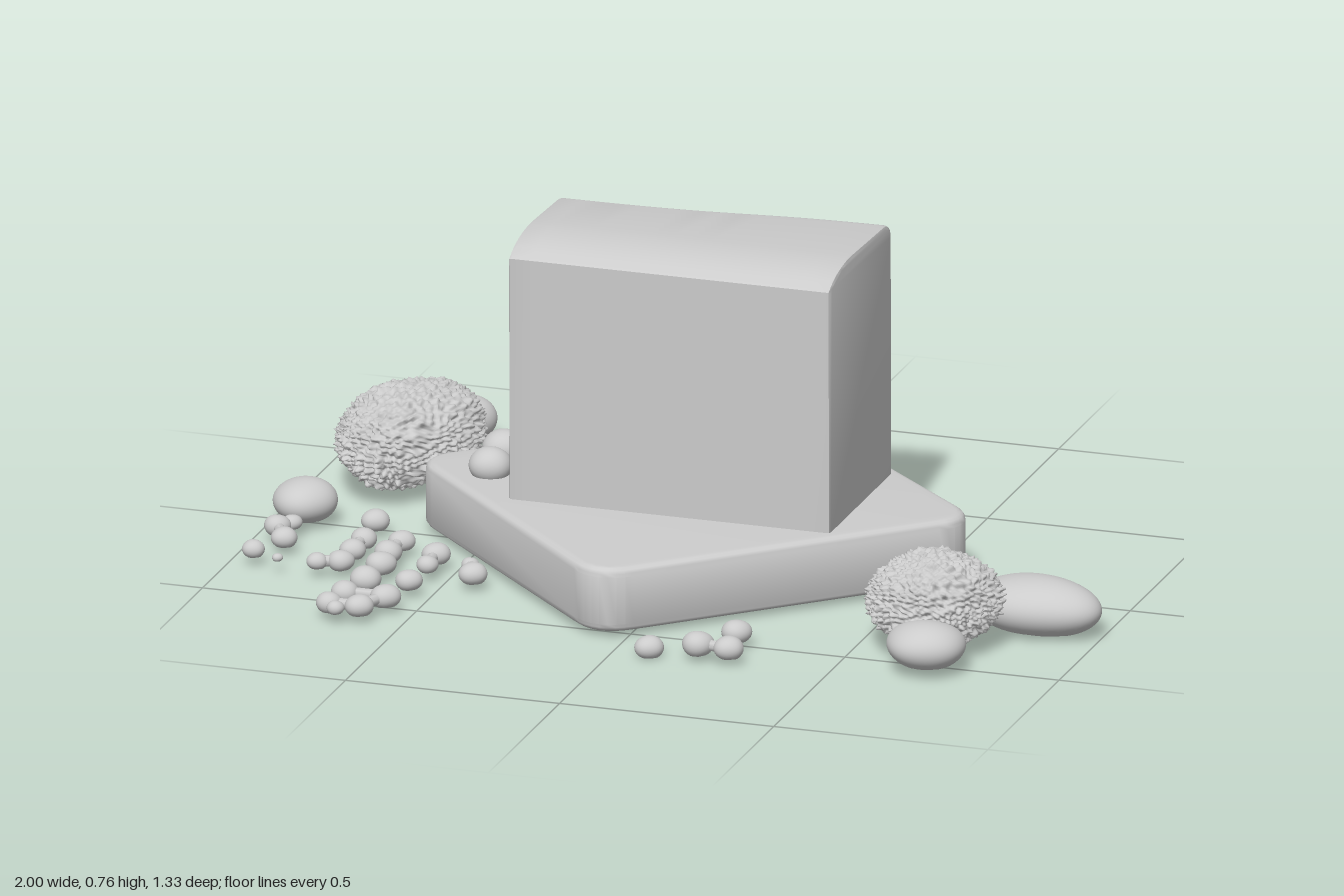
import * as THREE from 'three';
import { mergeVertices, toCreasedNormals } from 'three/addons/utils/BufferGeometryUtils.js';

const material = new THREE.MeshStandardMaterial({ color: 0xcccccc });

function add(parent, name, geometry) {
  const mesh = new THREE.Mesh(geometry, material);
  mesh.name = name;
  parent.add(mesh);
  return mesh;
}

// Closed polygon shape whose corners are rounded by r
function roundedShape(corners, r) {
  const pts = corners.map(([x, y]) => new THREE.Vector2(x, y));
  const toward = (a, b) => a.clone().add(b.clone().sub(a).setLength(Math.min(r, a.distanceTo(b) * 0.45)));
  const shape = new THREE.Shape();
  pts.forEach((p, i) => {
    const start = toward(p, pts[(i + pts.length - 1) % pts.length]);
    const end = toward(p, pts[(i + 1) % pts.length]);
    if (i === 0) shape.moveTo(start.x, start.y);
    else shape.lineTo(start.x, start.y);
    shape.quadraticCurveTo(p.x, p.y, end.x, end.y);
  });
  shape.closePath();
  return shape;
}

// Ellipsoid with a flattened underside; bump(n) scales the radius per direction
function blob(size, detail, bump, floor = -0.8) {
  let g = new THREE.IcosahedronGeometry(1, detail);
  g.deleteAttribute('uv');
  g.deleteAttribute('normal');
  g = mergeVertices(g);
  const p = g.attributes.position;
  const n = new THREE.Vector3();
  for (let i = 0; i < p.count; i++) {
    n.fromBufferAttribute(p, i).normalize();
    n.multiplyScalar(bump(n));
    p.setXYZ(i, n.x * size[0], Math.max(n.y, floor) * size[1], n.z * size[2]);
  }
  g.computeVertexNormals();
  return g;
}

const soft = (seed) => (n) => 1 + 0.05 * Math.sin(2.3 * n.x + seed) * Math.cos(2.7 * n.z - seed);

// Leafy surface: broad lumps plus fine interfering ripples
const leafy = (seed) => (n) => {
  const { x, y, z } = n;
  const broad = Math.sin(4 * x + seed) * Math.sin(4 * z - seed) * 0.04;
  const fine = Math.sin(21 * x + 4 * Math.sin(9 * z + seed)) * Math.sin(23 * y + 3 * Math.sin(11 * x)) * Math.sin(22 * z + 4 * Math.sin(8 * y));
  const grain = Math.sin(37 * x + 31 * y + seed) * Math.sin(35 * z - 29 * y);
  return 0.96 + broad + 0.07 * fine + 0.035 * grain;
};

export function createModel() {
  const model = new THREE.Group();
  model.name = 'stoneMonument';

  // Diamond slab
  const diamond = roundedShape([[-0.69, 0.065], [-0.06, -0.57], [0.62, 0.065], [-0.005, 0.635]].map(([x, y]) => [x * 0.97 - 0.001, y * 0.97]), 0.08);
  const slab = new THREE.ExtrudeGeometry(diamond, {
    depth: 0.11, bevelThickness: 0.02, bevelSize: 0.02, bevelSegments: 4, curveSegments: 8,
  });
  slab.rotateX(-Math.PI / 2).translate(0, 0.04, 0);
  add(model, 'baseSlab', toCreasedNormals(slab, 0.6));

  // Upright block: side profile swept across, with a slightly skewed wavy back
  const profile = new THREE.Shape();
  profile.moveTo(-0.147, 0.16);
  profile.lineTo(0.255, 0.16);
  profile.lineTo(0.252, 0.725);
  profile.quadraticCurveTo(0.25, 0.75, 0.215, 0.755);
  profile.lineTo(0.0, 0.763);
  profile.quadraticCurveTo(-0.1, 0.763, -0.152, 0.73);
  profile.closePath();
  const block = new THREE.ExtrudeGeometry(profile, {
    depth: 0.734, steps: 16, bevelThickness: 0.008, bevelSize: 0.008, bevelSegments: 2, curveSegments: 8,
  });
  block.rotateY(Math.PI / 2).translate(-0.392, 0, 0);
  const p = block.attributes.position;
  for (let i = 0; i < p.count; i++) {
    const z = p.getZ(i);
    const x = p.getX(i);
    const back = THREE.MathUtils.clamp(-z / 0.26, 0, 1);
    p.setZ(i, z - back * (0.028 * Math.tanh(5 * (x - 0.03)) - 0.005));
  }
  add(model, 'uprightBlock', toCreasedNormals(block, 0.6));

  // Two shrubs
  const shrubs = [
    { at: [-0.795, 0.122, -0.34], size: [0.155, 0.105, 0.235], turn: -0.1 },
    { at: [0.665, 0.12, 0.365], size: [0.15, 0.105, 0.165], turn: -0.2 },
  ];
  shrubs.forEach(({ at, size, turn }, i) => {
    const shrub = add(model, 'shrub', blob(size, 38, leafy(i * 2 + 1), -0.93));
    shrub.position.set(...at);
    shrub.rotation.y = turn;
  });

  // Boulders beside the shrubs: position, radii, turn
  const boulders = [
    [[0.84, 0.07, 0.195], [0.155, 0.065, 0.1], -0.12],
    [[0.70, 0.072, 0.535], [0.09, 0.052, 0.085], 0.2],
    [[-0.755, 0.075, -0.605], [0.07, 0.055, 0.065], 0],
    [[-0.925, 0.065, 0.012], [0.072, 0.05, 0.075], 0.3],
  ];
  boulders.forEach(([at, size, turn], i) => {
    const boulder = add(model, 'boulder', blob(size, 10, soft(i)));
    boulder.position.set(...at);
    boulder.rotation.y = turn;
  });

  // Pebbles: x, z, radius, optional height of the centre
  const pebbles = [
    [-0.75, 0.04, 0.032], [-0.945, 0.14, 0.03], [-0.905, 0.215, 0.03], [-0.92, 0.11, 0.022],
    [-0.945, 0.31, 0.026], [-0.875, 0.35, 0.012], [-0.735, 0.165, 0.03], [-0.65, 0.155, 0.03],
    [-0.655, 0.235, 0.032], [-0.55, 0.215, 0.032], [-0.545, 0.29, 0.025], [-0.43, 0.318, 0.032],
    [-0.455, 0.26, 0.02], [-0.735, 0.245, 0.03], [-0.735, 0.325, 0.03], [-0.785, 0.345, 0.024],
    [-0.645, 0.315, 0.034], [-0.645, 0.425, 0.036], [-0.55, 0.405, 0.03], [-0.66, 0.525, 0.032],
    [-0.565, 0.525, 0.034], [-0.67, 0.605, 0.03], [-0.6, 0.605, 0.032], [-0.645, 0.635, 0.02],
    [0.085, 0.63, 0.033, 0.03], [0.195, 0.615, 0.036], [0.268, 0.622, 0.034], [0.25, 0.51, 0.034],
    [-0.5, -0.11, 0.05, 0.195], [-0.465, -0.17, 0.035, 0.185], [-0.495, 0, 0.05, 0.19],
  ];
  const pebbleGroup = new THREE.Group();
  pebbleGroup.name = 'pebbles';
  model.add(pebbleGroup);
  pebbles.forEach(([x, z, r, y = 0.045], i) => {
    const pebble = add(pebbleGroup, 'pebble', blob([r, r * 0.8, r], 4, soft(i * 1.7)));
    pebble.position.set(x, y, z);
  });

  // Thin necks joining neighbouring pebbles
  const necks = [[1, 2], [6, 13], [7, 8], [9, 10], [11, 12], [14, 15], [19, 20], [20, 22], [21, 22], [25, 26], [28, 29]];
  necks.forEach(([a, b]) => {
    const [from, to] = [a, b].map((k) => pebbleGroup.children[k].position);
    const neck = add(pebbleGroup, 'pebbleNeck', new THREE.CylinderGeometry(0.013, 0.013, from.distanceTo(to), 8));
    neck.position.copy(from).lerp(to, 0.5);
    neck.quaternion.setFromUnitVectors(new THREE.Vector3(0, 1, 0), to.clone().sub(from).normalize());
  });

  return model;
}
